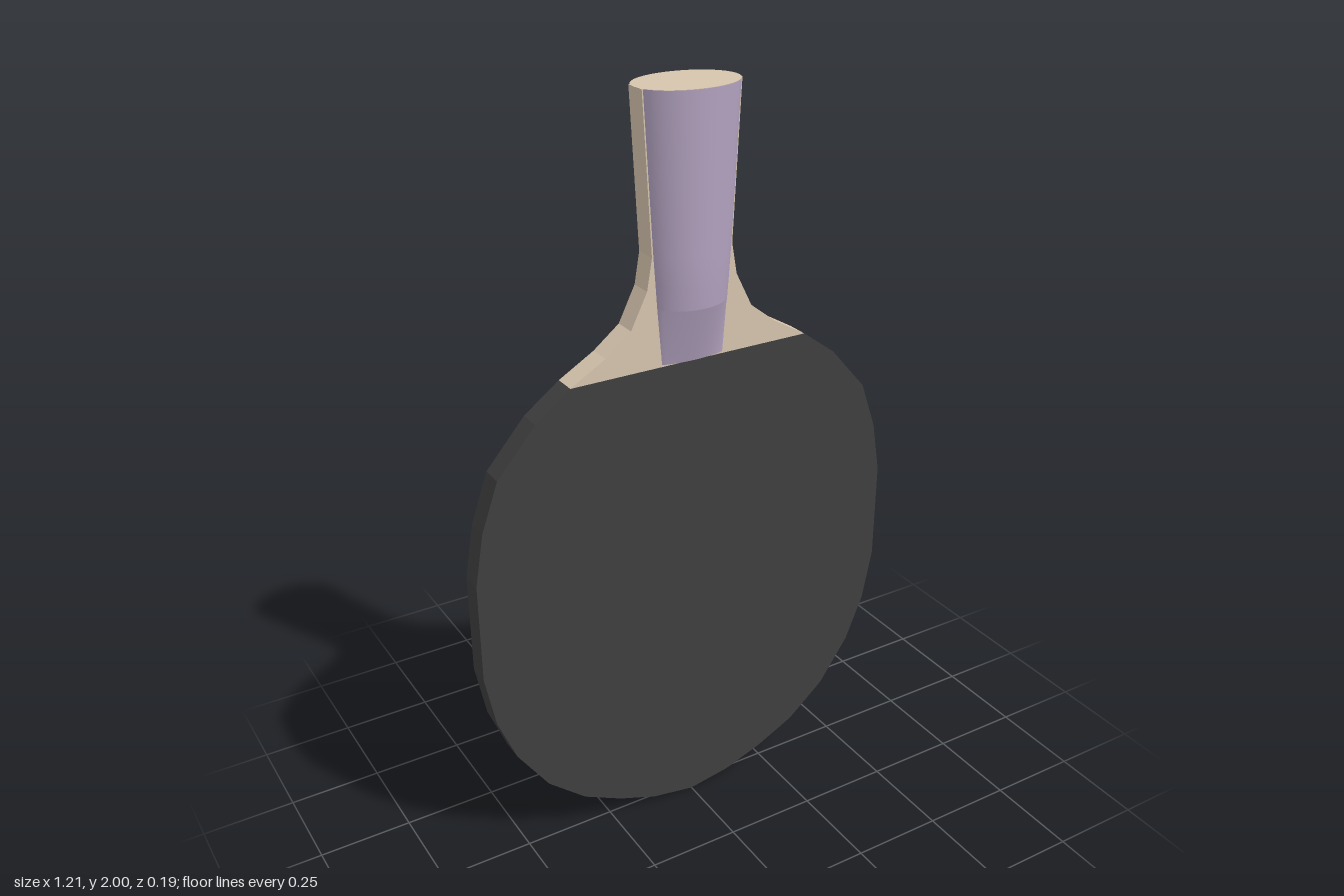
import * as THREE from 'three';

const HALF = 0.03; // half thickness of the blade
const JOIN = 1.33; // height where rubber meets the wooden neck

const wood = new THREE.MeshStandardMaterial({ color: 0xd6c5ae });
const grip = new THREE.MeshStandardMaterial({ color: 0xb2a2bf });
const blackRubber = new THREE.MeshStandardMaterial({ color: 0x3f3f3f });
const redRubber = new THREE.MeshStandardMaterial({ color: 0x933c42 });

// Flat slab from a right-hand outline, mirrored to the left
function slab(half) {
  const left = half.filter(([x]) => x > 0).reverse().map(([x, y]) => [-x, y]);
  const shape = new THREE.Shape([...half, ...left].map(([x, y]) => new THREE.Vector2(x, y)));
  const g = new THREE.ExtrudeGeometry(shape, { depth: HALF * 2, bevelEnabled: false });
  return g.translate(0, 0, -HALF);
}

// Rounded grip half on the front: rows of [height, half width at the wood, crown depth]
function gripHalf(rows) {
  const N = 16;
  const pos = [], idx = [];
  const ring = ([y, a, depth]) => {
    const t0 = Math.asin(HALF / depth), rx = a / Math.cos(t0);
    for (let i = 0; i <= N; i++) {
      const t = t0 + (Math.PI - 2 * t0) * (i / N);
      pos.push(rx * Math.cos(t), y, depth * Math.sin(t));
    }
  };
  rows.forEach(ring);
  for (let r = 0; r < rows.length - 1; r++) {
    if (rows[r][0] === rows[r + 1][0]) continue; // doubled row keeps a crease
    for (let i = 0; i < N; i++) {
      const a = r * (N + 1) + i, b = a + N + 1;
      idx.push(a, b, a + 1, b, b + 1, a + 1);
    }
  }
  // lower end cap
  const base = pos.length / 3;
  ring(rows[0]);
  for (let i = 1; i < N; i++) idx.push(base, base + i, base + i + 1);
  const g = new THREE.BufferGeometry();
  g.setAttribute('position', new THREE.Float32BufferAttribute(pos, 3));
  g.setIndex(idx);
  g.computeVertexNormals();
  return g;
}

export function createModel() {
  const group = new THREE.Group();
  const add = (name, geometry, material) => {
    const mesh = new THREE.Mesh(geometry, material);
    mesh.name = name;
    group.add(mesh);
    return mesh;
  };

  // Blade: red back face, black front face and rim
  const blade = slab([
    [0, 0], [0.12, 0.02], [0.23, 0.06], [0.34, 0.115], [0.445, 0.205], [0.53, 0.33],
    [0.58, 0.455], [0.607, 0.6], [0.607, 0.87], [0.582, 1.01], [0.535, 1.14],
    [0.43, 1.26], [0.335, JOIN],
  ]);
  const lid = blade.groups[0].count / 2;
  const total = blade.getAttribute('position').count;
  blade.clearGroups();
  blade.addGroup(0, lid, 0);
  blade.addGroup(lid, total - lid, 1);
  add('blade', blade, [redRubber, blackRubber]);

  // Wooden neck running up through the handle
  add('neckAndCore', slab([
    [0.335, JOIN], [0.24, 1.385], [0.17, 1.44], [0.125, 1.53], [0.111, 1.61], [0.132, 2],
  ]), wood);

  // Grip halves, front and back
  const rows = [
    [1.335, 0.086, 0.042], [1.48, 0.098, 0.083], [1.48, 0.098, 0.083],
    [1.54, 0.102, 0.088], [1.61, 0.107, 0.09], [2, 0.129, 0.096],
  ];
  add('gripFront', gripHalf(rows), grip);
  add('gripBack', gripHalf(rows), grip).rotation.y = Math.PI;

  // Oval wooden end of the handle
  const end = new THREE.CircleGeometry(1, 40);
  end.scale(0.136, 0.096, 1).rotateX(-Math.PI / 2).translate(0, 2.001, 0);
  add('handleEnd', end, wood);

  return group;
}
